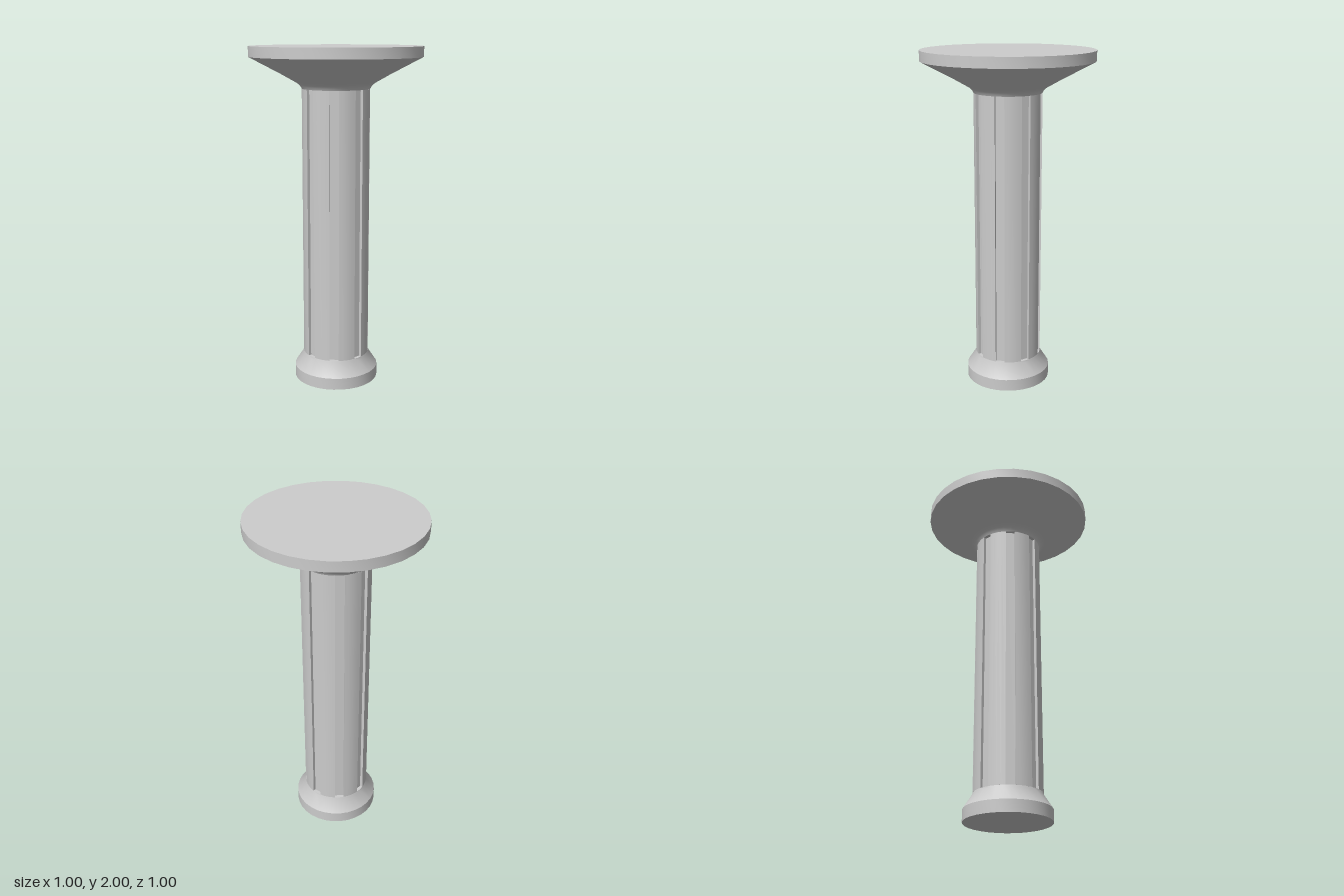
import * as THREE from 'three';
import { toCreasedNormals } from 'three/addons/utils/BufferGeometryUtils.js';

const SHAFT_R = 0.198, SHAFT_BOTTOM = 0.16, SHAFT_TOP = 1.76;
const FLUTES = 8, FLUTE_HALF = 0.0275, FLUTE_FLOOR = 0.178;

export function createModel() {
  const stone = new THREE.MeshStandardMaterial({ color: 0xcccccc });
  stone.name = 'greyStone';
  const column = new THREE.Group();
  column.name = 'column';

  const add = (name, geometry) => {
    const mesh = new THREE.Mesh(toCreasedNormals(geometry, 0.42), stone);
    mesh.name = name;
    column.add(mesh);
  };
  const turned = (profile) =>
    new THREE.LatheGeometry(profile.map(([r, y]) => new THREE.Vector2(r, y)), 32);

  // Base: short drum tapering up to the shaft
  add('base', turned([[0, 0], [0.252, 0], [0.252, 0.07], [0.2, 0.15],
    [SHAFT_R, SHAFT_BOTTOM], [0, SHAFT_BOTTOM]]));

  // Shaft: round section with straight-sided flutes cut into it
  const section = new THREE.Shape();
  const edge = Math.asin(FLUTE_HALF / SHAFT_R);
  const step = (Math.PI * 2) / FLUTES;
  const points = [];
  for (let i = 0; i < FLUTES; i++) {
    const a = i * step;
    for (const side of [-FLUTE_HALF, FLUTE_HALF]) {
      points.push(new THREE.Vector2(FLUTE_FLOOR, side).rotateAround(new THREE.Vector2(), a));
    }
    for (let k = 0; k <= 4; k++) {
      const t = a + edge + ((step - 2 * edge) * k) / 4;
      points.push(new THREE.Vector2(Math.cos(t) * SHAFT_R, Math.sin(t) * SHAFT_R));
    }
  }
  section.setFromPoints(points);
  const shaft = new THREE.ExtrudeGeometry(section, {
    depth: SHAFT_TOP - SHAFT_BOTTOM, bevelEnabled: false,
  });
  shaft.rotateX(-Math.PI / 2).translate(0, SHAFT_BOTTOM, 0);
  add('flutedShaft', shaft);

  // Capital: flared cone under a flat round slab
  add('capital', turned([[0, SHAFT_TOP], [SHAFT_R, SHAFT_TOP], [0.203, 1.77], [0.212, 1.782],
    [0.228, 1.794], [0.317, 1.844], [0.5, 1.94], [0.5, 2], [0, 2]]));

  return column;
}
